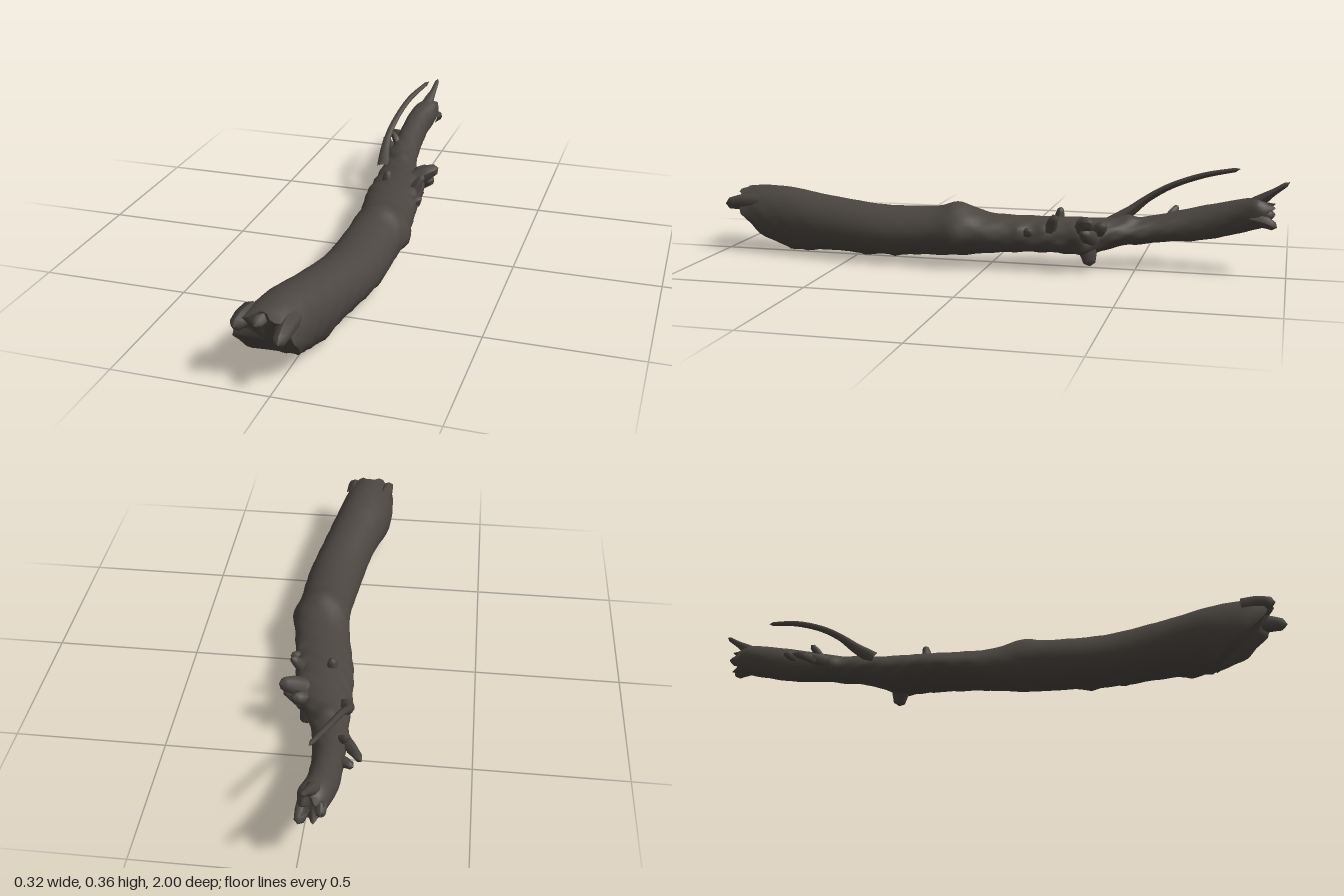
import * as THREE from 'three';

const bark = new THREE.MeshStandardMaterial({ color: 0x4a453f });
bark.name = 'dark bark';

// Trunk sections from back to front: z, left, right, bottom, top
const SECTIONS = [
  [-0.94, -0.075, -0.005, 0.172, 0.25],
  [-0.88, -0.095, 0.003, 0.155, 0.265],
  [-0.8, -0.107, -0.008, 0.13, 0.247],
  [-0.7, -0.108, -0.008, 0.108, 0.223],
  [-0.6, -0.105, 0.0, 0.1, 0.198],
  [-0.52, -0.103, 0.012, 0.088, 0.182],
  [-0.45, -0.1, 0.035, 0.083, 0.177],
  [-0.36, -0.098, 0.075, 0.06, 0.178],
  [-0.28, -0.092, 0.1, 0.058, 0.18],
  [-0.2, -0.086, 0.11, 0.06, 0.18],
  [-0.1, -0.07, 0.122, 0.056, 0.182],
  [0.0, -0.055, 0.138, 0.05, 0.19],
  [0.1, -0.045, 0.153, 0.042, 0.217],
  [0.2, -0.045, 0.146, 0.036, 0.205],
  [0.4, -0.06, 0.138, 0.024, 0.2],
  [0.6, -0.09, 0.108, 0.024, 0.217],
  [0.75, -0.124, 0.08, 0.01, 0.238],
  [0.86, -0.138, 0.065, 0.01, 0.24],
  [0.94, -0.137, 0.052, 0.02, 0.232],
];

// Swellings in the bark: x, y, z, radius, height
const KNOTS = [
  [0.15, 0.11, 0.1, 0.05, 0.012], [0.06, 0.21, 0.11, 0.06, 0.01],
  [0.08, 0.07, -0.35, 0.05, 0.03], [0.09, 0.15, -0.32, 0.05, 0.02],
  [0.1, 0.16, -0.2, 0.03, 0.015], [0.11, 0.15, -0.12, 0.03, 0.012],
  [-0.03, 0.18, -0.47, 0.04, 0.015], [-0.1, 0.14, -0.56, 0.04, 0.015],
  [0.03, 0.02, 0.45, 0.05, 0.01], [0.1, 0.05, 0.33, 0.04, 0.012],
  [0.06, 0.03, 0.68, 0.04, 0.012], [-0.02, 0.24, -0.9, 0.035, 0.012],
];

function roughness(a, z) {
  const under = 0.35 + 0.65 * Math.max(0, Math.cos(a + 0.7)); // rougher low on one side
  const gnarl = Math.exp(-(((z + 0.38) / 0.3) ** 2));
  return 0.012 * Math.sin(3 * a + 7 * z) + 0.012 * Math.sin(2 * a - 15 * z)
    + (0.018 * under + 0.03 * gnarl) * Math.sin(5 * a + 31 * z) * Math.sin(43 * z + 2 * a)
    + 0.014 * under * Math.sin(9 * a - 67 * z);
}

function trunkGeometry() {
  const rows = 120, N = 36;
  const centres = new THREE.CatmullRomCurve3(SECTIONS.map(([z, l, r, b, t]) =>
    new THREE.Vector3((l + r) / 2, (b + t) / 2, z)), false, 'catmullrom');
  const sizes = new THREE.CatmullRomCurve3(SECTIONS.map(([, l, r, b, t]) =>
    new THREE.Vector3((r - l) / 2, (t - b) / 2, 0)), false, 'catmullrom');
  const pos = [], idx = [], rings = [];
  for (let i = 0; i <= rows; i++) {
    const c = centres.getPoint(i / rows), s = sizes.getPoint(i / rows), ring = [];
    for (let j = 0; j < N; j++) {
      const a = (j / N) * Math.PI * 2;
      const k = 1 + roughness(a, c.z);
      const p = new THREE.Vector3(c.x + s.x * k * Math.cos(a), c.y + s.y * k * Math.sin(a), c.z);
      let push = 0;
      for (const [x, y, z, r, h] of KNOTS) {
        const d2 = (p.x - x) ** 2 + (p.y - y) ** 2 + (p.z - z) ** 2;
        push += h * Math.exp(-2 * d2 / (r * r));
      }
      p.x += push * Math.cos(a);
      p.y += push * Math.sin(a);
      // Slanted cut at the front, undercut towards the ground
      const f = Math.max(0, (c.z - 0.74) / 0.2);
      const u = THREE.MathUtils.clamp((0.235 - p.y) / 0.215, 0, 1);
      p.z -= f * 0.16 * u ** 2.5;
      // Jagged rims at both ends
      if (i === rows) p.z += 0.018 * Math.sin(a * 7) * (1 - u);
      if (i === 0) p.z += 0.018 * Math.sin(a * 5 + 1);
      ring.push(p);
      pos.push(p.x, p.y, p.z);
    }
    rings.push(ring);
  }
  for (let i = 0; i < rows; i++) for (let j = 0; j < N; j++) {
    const a = i * N + j, b = i * N + (j + 1) % N;
    idx.push(a, b, a + N, b, b + N, a + N);
  }
  // End faces with their own vertices, so the rims stay sharp
  for (const [ring, front] of [[rings[0], false], [rings[rows], true]]) {
    const mid = ring.reduce((m, p) => m.add(p), new THREE.Vector3()).divideScalar(N);
    mid.z += front ? 0.012 : 0.015;
    const start = pos.length / 3;
    for (const p of [mid, ...ring]) pos.push(p.x, p.y, p.z);
    for (let j = 0; j < N; j++) {
      const a = start + 1 + j, b = start + 1 + (j + 1) % N;
      idx.push(start, front ? a : b, front ? b : a);
    }
  }
  const g = new THREE.BufferGeometry();
  g.setAttribute('position', new THREE.Float32BufferAttribute(pos, 3));
  g.setIndex(idx);
  g.computeVertexNormals();
  return g;
}

// Tapered branch along points of [x, y, z, radius], closed at the tip
function branch(name, points, sides = 8, steps = 12) {
  const path = new THREE.CatmullRomCurve3(points.map(([x, y, z]) => new THREE.Vector3(x, y, z)));
  const g = new THREE.TubeGeometry(path, steps, 1, sides);
  const p = g.attributes.position, v = new THREE.Vector3();
  for (let i = 0; i <= steps; i++) {
    const c = path.getPointAt(i / steps);
    const t = path.getUtoTmapping(i / steps) * (points.length - 1);
    const n = Math.min(Math.floor(t), points.length - 2);
    const r = i === steps ? 0 : THREE.MathUtils.lerp(points[n][3], points[n + 1][3], t - n);
    for (let j = 0; j <= sides; j++) {
      const k = i * (sides + 1) + j;
      v.fromBufferAttribute(p, k).sub(c).multiplyScalar(r * (1 + 0.1 * Math.sin(j % sides * 2.3))).add(c);
      p.setXYZ(k, v.x, v.y, v.z);
    }
  }
  g.computeVertexNormals();
  const mesh = new THREE.Mesh(g, bark);
  mesh.name = name;
  return mesh;
}

export function createModel() {
  const model = new THREE.Group();
  model.name = 'fallenBranch';
  const trunk = new THREE.Mesh(trunkGeometry(), bark);
  trunk.name = 'trunk';
  model.add(trunk);

  // Long curved twig and the spike at the thin end
  model.add(branch('longTwig', [
    [-0.085, 0.15, -0.4, 0.024], [-0.098, 0.195, -0.47, 0.018], [-0.1, 0.235, -0.52, 0.013],
    [-0.088, 0.285, -0.6, 0.011], [-0.065, 0.33, -0.71, 0.01], [-0.022, 0.364, -0.84, 0.007],
  ], 8, 24));
  model.add(branch('endSpike', [
    [-0.045, 0.215, -0.85, 0.035], [-0.04, 0.255, -0.9, 0.022],
    [-0.03, 0.288, -0.945, 0.012], [-0.024, 0.326, -1.0, 0.007],
  ]));

  // Splintered ends, as [from, to, thickness]
  const splinters = [
    [[-0.02, 0.2, -0.88], [-0.005, 0.175, -0.965], 0.026],
    [[-0.06, 0.21, -0.88], [-0.07, 0.2, -0.955], 0.026],
    [[-0.1, 0.19, 0.86], [-0.118, 0.19, 0.965], 0.032],
    [[-0.05, 0.2, 0.85], [-0.055, 0.2, 0.96], 0.032],
    [[0.02, 0.185, 0.86], [0.028, 0.175, 1.0], 0.034],
  ];
  // Broken side shoots and knobs
  const stubs = [
    [[-0.08, 0.14, -0.54], [-0.16, 0.168, -0.68], 0.022],
    [[-0.12, 0.15, -0.61], [-0.155, 0.155, -0.65], 0.016],
    [[-0.08, 0.17, -0.68], [-0.14, 0.182, -0.72], 0.02],
    [[-0.08, 0.17, -0.6], [-0.115, 0.215, -0.63], 0.016],
    [[-0.02, 0.15, -0.23], [-0.018, 0.21, -0.24], 0.02],
    [[0.06, 0.15, -0.33], [0.14, 0.19, -0.365], 0.035],
    [[0.06, 0.12, -0.36], [0.13, 0.15, -0.34], 0.03],
    [[0.05, 0.14, -0.37], [0.09, 0.17, -0.41], 0.026],
    [[0.08, 0.14, -0.22], [0.115, 0.205, -0.245], 0.022],
    [[0.04, 0.1, -0.34], [0.06, 0.025, -0.355], 0.035],
    [[0.08, 0.12, -0.14], [0.132, 0.15, -0.16], 0.022],
  ];
  const add = (name, list) => list.forEach(([from, to, r]) => {
    const mid = from.map((c, i) => (c + to[i]) / 2 + (i === 1 ? 0.004 : 0));
    model.add(branch(name, [[...from, r], [...mid, r * 0.85], [...to, r * 0.5]], 7, 8));
  });
  add('splinter', splinters);
  add('brokenShoot', stubs);
  return model;
}
